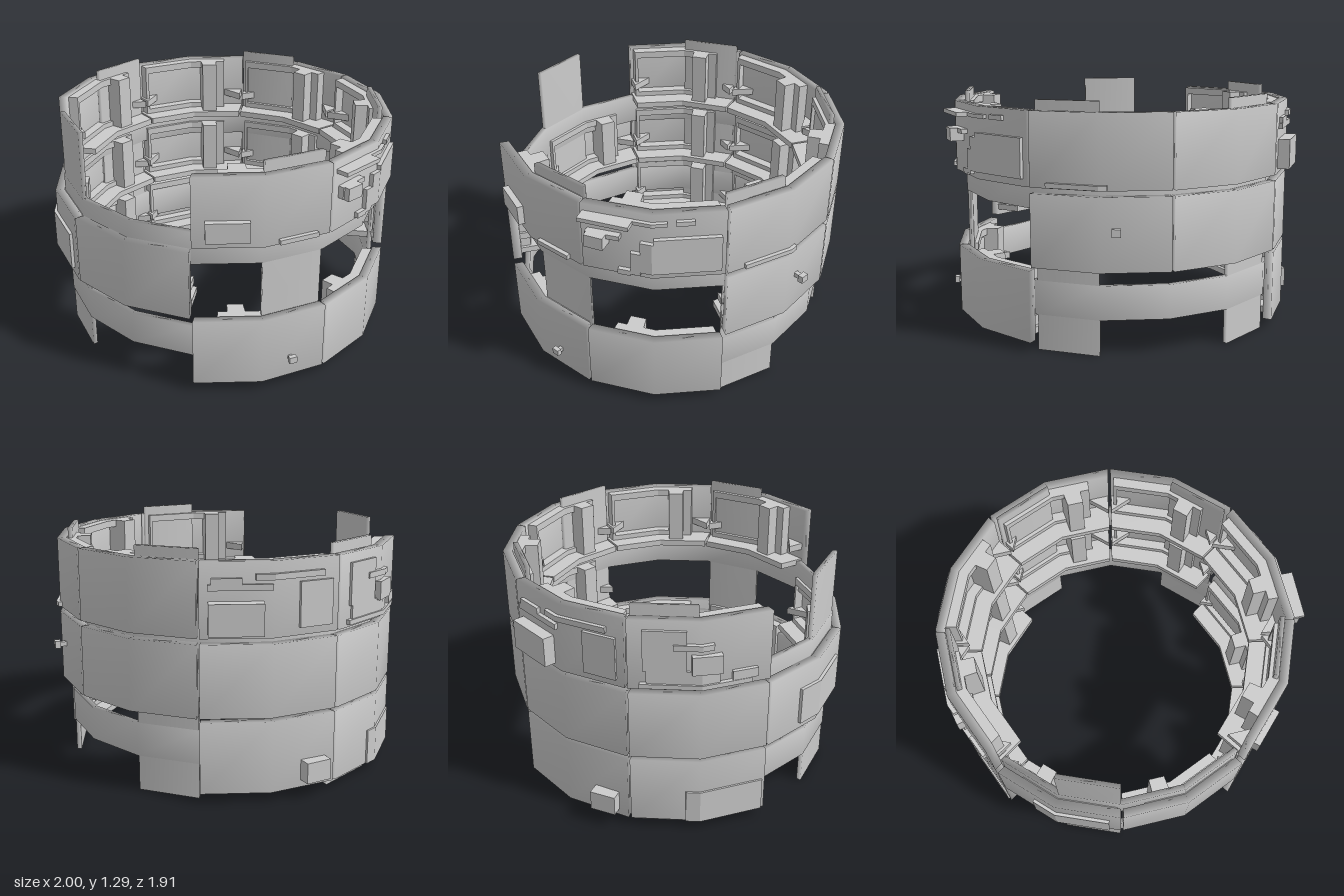
import * as THREE from 'three';

const STEP = 22.5; // the plan is a 16-sided polygon
const rad = THREE.MathUtils.degToRad;
const material = new THREE.MeshStandardMaterial({ color: 0xcccccc });
const flat = new THREE.MeshStandardMaterial({ color: 0xcccccc, flatShading: true });

// Radius of the polygon at an angle, for a given corner radius
function polyRadius(deg, r) {
  const d = ((deg % STEP) + STEP) % STEP - STEP / 2;
  return r * Math.cos(rad(STEP / 2)) / Math.cos(rad(d));
}

// Solid piece of the polygonal ring between two angles (0 = front, 90 = +x)
function sector(a0, a1, y0, y1, r0, r1) {
  const closed = a1 - a0 >= 360;
  const angles = [a0];
  for (let k = Math.floor(a0 / STEP) + 1; k * STEP < a1 - 1e-6; k++) angles.push(k * STEP);
  if (!closed) angles.push(a1);
  const pos = [], index = [];
  for (const a of angles) {
    const s = Math.sin(rad(a)), c = Math.cos(rad(a));
    for (const [r, y] of [[r1, y0], [r1, y1], [r0, y1], [r0, y0]]) {
      const q = polyRadius(a, r);
      pos.push(q * s, y, q * c);
    }
  }
  const n = angles.length;
  for (let i = 0; i < (closed ? n : n - 1); i++) {
    const A = i * 4, B = ((i + 1) % n) * 4;
    for (let k = 0; k < 4; k++) {
      const m = (k + 1) % 4;
      index.push(A + k, B + k, B + m, A + k, B + m, A + m);
    }
  }
  if (!closed) {
    const e = (n - 1) * 4;
    index.push(0, 1, 2, 0, 2, 3, e, e + 2, e + 1, e, e + 3, e + 2);
  }
  const g = new THREE.BufferGeometry();
  g.setAttribute('position', new THREE.Float32BufferAttribute(pos, 3));
  g.setIndex(index);
  g.computeVertexNormals();
  return g;
}

function add(parent, name, geometry, mat = flat) {
  const mesh = new THREE.Mesh(geometry, mat);
  mesh.name = name;
  parent.add(mesh);
  return mesh;
}

// Straight box standing out of the wall at an angle
function block(parent, name, deg, y, w, h, r0, r1) {
  const m = add(parent, name, new THREE.BoxGeometry(w, h, r1 - r0));
  const r = (r0 + r1) / 2;
  m.position.set(r * Math.sin(rad(deg)), y, r * Math.cos(rad(deg)));
  m.rotation.y = rad(deg);
}

// Horizontal triangular rib, widest at the panel end; dir is the way round it points
function rib(parent, deg, y, dir) {
  const shape = new THREE.Shape();
  shape.moveTo(0, -0.9);
  shape.lineTo(dir * 0.12, -0.88);
  shape.lineTo(0, -0.8);
  const g = new THREE.ExtrudeGeometry(shape, { depth: 0.04, bevelEnabled: false });
  g.rotateX(-Math.PI / 2).rotateY(rad(deg)).translate(0, y, 0);
  add(parent, 'innerRib', g);
}

// Outer panel with the fittings on its inner side
function panel(parent, a, y) {
  const g = new THREE.Group();
  g.name = 'wallPanel';
  add(g, 'outerPanel', sector(a + 0.4, a + 44.6, y, y + 0.38, 0.895, 0.945), material);
  const fit = (name, a0, a1, b0, b1, r) =>
    add(g, name, sector(a + a0, a + a1, y + b0, y + b1, r, 0.897));
  fit('floor', 0.4, 44.6, 0.035, 0.07, 0.745);
  fit('innerBlock', 11.5, 18, 0.07, 0.375, 0.77);
  fit('innerStep', 8, 11.5, 0.07, 0.375, 0.84);
  fit('lowerLip', 18, 43.5, 0.07, 0.1, 0.84);
  fit('upperLip', 18, 43.5, 0.335, 0.375, 0.84);
  fit('framePost', 42.3, 43.5, 0.1, 0.335, 0.84);
  rib(g, a + 0.6, y + 0.13, 1);
  rib(g, a + 44.4, y + 0.13, -1);
  parent.add(g);
}

export function createModel() {
  const model = new THREE.Group();
  model.name = 'ringTower';
  const body = new THREE.Group();
  body.name = 'body';
  body.position.set(-0.008, 0, 0.01);
  model.add(body);

  // Two thin bands carry the tower
  for (const y of [0.19, 0.74])
    add(body, 'coreBand', sector(0, 360, y, y + 0.18, 0.858, 0.89), material);

  // Full-height columns
  for (const a of [-157.5, -90, -22.5, 67.5, 135])
    add(body, 'column', sector(a + 0.4, a + 22.1, 0, 1.29, 0.861, 0.887), material);

  // Three storeys of panels, with some bays left open
  const storeys = [
    [0.05, [-135, -90, 45, 90]],
    [0.45, [-180, -135, -90, -45, 0, 135]],
    [0.86, [-180, -135, -90, 45, 90, 135]],
  ];
  for (const [y, bays] of storeys) for (const a of bays) panel(body, a, y);

  // Plates that follow the wall: name, angles, heights, outer radius
  const plates = [
    ['frontPlate', -31, -4.3, 0.49, 0.7, 0.963],
    ['lowerPlate', -72, -46.5, 0.05, 0.24, 0.955],
    ['sillBar', 72, 85, 0.865, 0.89, 0.968],
    ['backSillBar', 141, 160, 0.865, 0.89, 0.965],
    // right side fittings
    ['widePlate', 109, 133, 0.9, 1.08, 0.968],
    ['widePlateTop', 113, 133, 1.08, 1.105, 0.968],
    ['plateStep', 106, 109, 0.88, 1.01, 0.968],
    ['plateFoot', 102, 106, 0.87, 0.9, 0.968],
    ['upperBar', 92.5, 117, 1.18, 1.2, 0.965],
    ['shortBar', 92.5, 103, 1.08, 1.105, 0.98],
    ['shortBarEnd', 92.5, 97, 1.04, 1.08, 0.98],
    ['barTip', 119.5, 125, 1.18, 1.205, 0.965],
    // rear fittings on the other side
    ['lowBar', -132, -113, 1.1, 1.13, 0.965],
    ['raisedBar', -118, -96, 1.15, 1.18, 0.965],
    ['sidePlate', -104, -93, 0.9, 1.13, 0.962],
    ['cornerBar', -131, -122, 1.12, 1.16, 0.965],
    // front fittings
    ['basePlate', -86, -52, 0.875, 0.9, 0.968],
    ['footBlock', -58, -50, 0.9, 0.95, 0.965],
    ['stepPlate', -84, -62, 0.9, 0.97, 0.958],
    ['upperStep', -85, -72, 0.97, 1.19, 0.96],
    ['stepBar', -76, -64, 1.09, 1.12, 0.968],
  ];
  for (const [name, a0, a1, y0, y1, r] of plates)
    add(body, name, sector(a0, a1, y0, y1, 0.93, r));

  // Straight blocks: name, angle, height, width, depth, radii
  const blocks = [
    ['cornerBox', 56.25, 0.955, 0.22, 0.11, 0.9, 0.96],
    ['sideBox', -98, 0.145, 0.14, 0.11, 0.9, 0.99],
    ['rearBox', -123.75, 0.965, 0.27, 0.16, 0.9, 0.99],
    ['sideFin', 99, 1.19, 0.26, 0.022, 0.9, 1.0],
    ['sideFinBlock', 96, 1.07, 0.1, 0.07, 0.9, 1.0],
    ['clusterBox', -66, 1.01, 0.15, 0.1, 0.9, 0.965],
    ['antennaArm', 162.7, 0.665, 0.025, 0.025, 0.9, 0.99],
    ['antennaHead', 162.7, 0.665, 0.045, 0.04, 0.965, 0.995],
    ['lowerArm', 77.2, 0.165, 0.022, 0.022, 0.9, 0.975],
    ['lowerHead', 77.2, 0.17, 0.042, 0.036, 0.95, 0.975],
  ];
  for (const b of blocks) block(body, ...b);

  return model;
}
